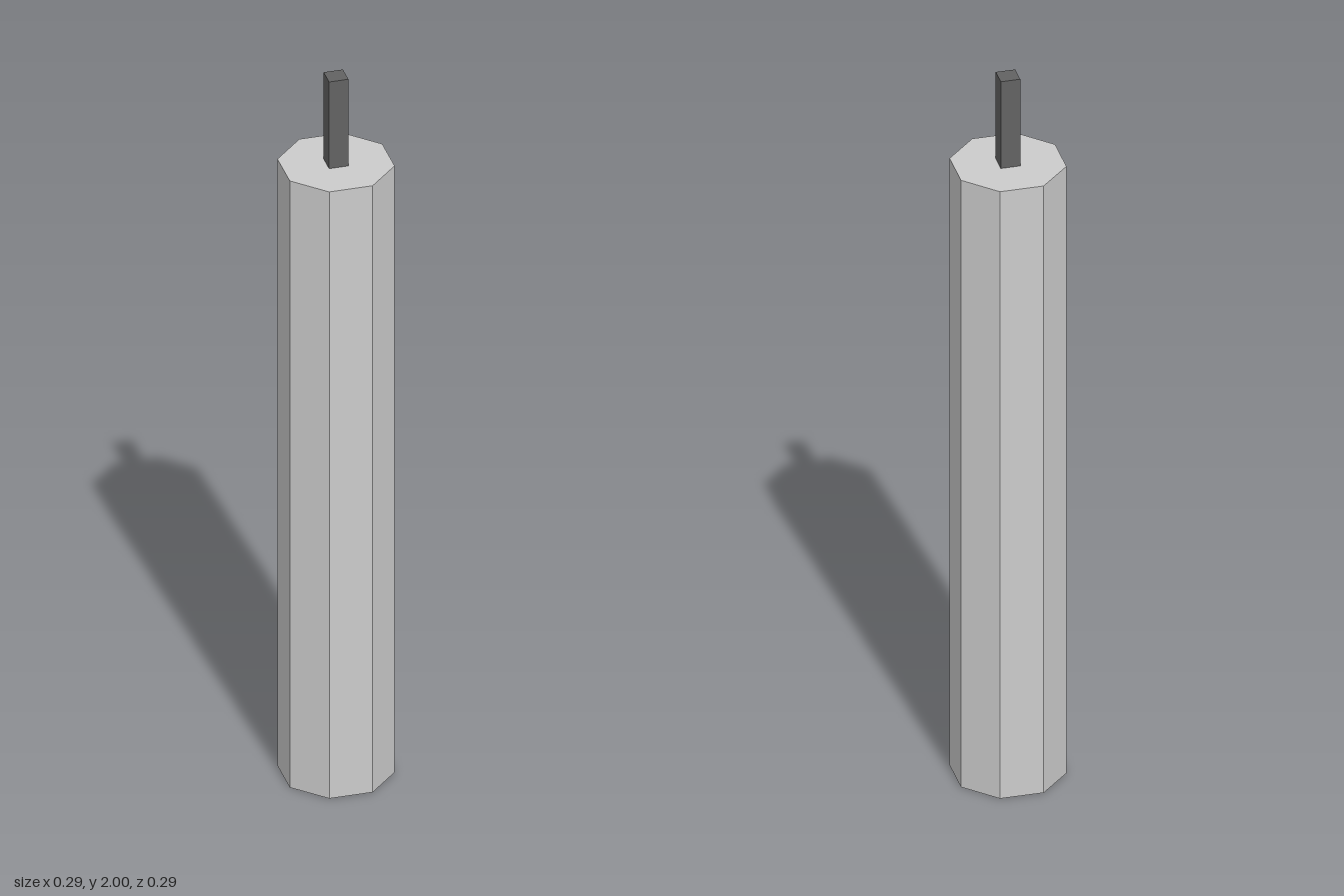
import * as THREE from 'three';

const BODY_RADIUS = 0.147;
const BODY_HEIGHT = 1.75;
const TOTAL_HEIGHT = 2;
const WICK_SIDE = 0.05;

export function createModel() {
  const model = new THREE.Group();
  model.name = 'candle';

  // Octagonal wax body, corners on the x and z axes
  const body = new THREE.Mesh(
    new THREE.CylinderGeometry(BODY_RADIUS, BODY_RADIUS, BODY_HEIGHT, 8),
    new THREE.MeshStandardMaterial({ color: 0xcccccc, flatShading: true })
  );
  body.name = 'candleBody';
  body.position.y = BODY_HEIGHT / 2;
  model.add(body);

  // Square dark wick, turned an eighth of a half turn
  const wickHeight = TOTAL_HEIGHT - BODY_HEIGHT;
  const wick = new THREE.Mesh(
    new THREE.BoxGeometry(WICK_SIDE, wickHeight, WICK_SIDE),
    new THREE.MeshStandardMaterial({ color: 0x626262, flatShading: true })
  );
  wick.name = 'wick';
  wick.position.y = BODY_HEIGHT + wickHeight / 2;
  wick.rotation.y = -Math.PI / 8;
  model.add(wick);

  return model;
}
